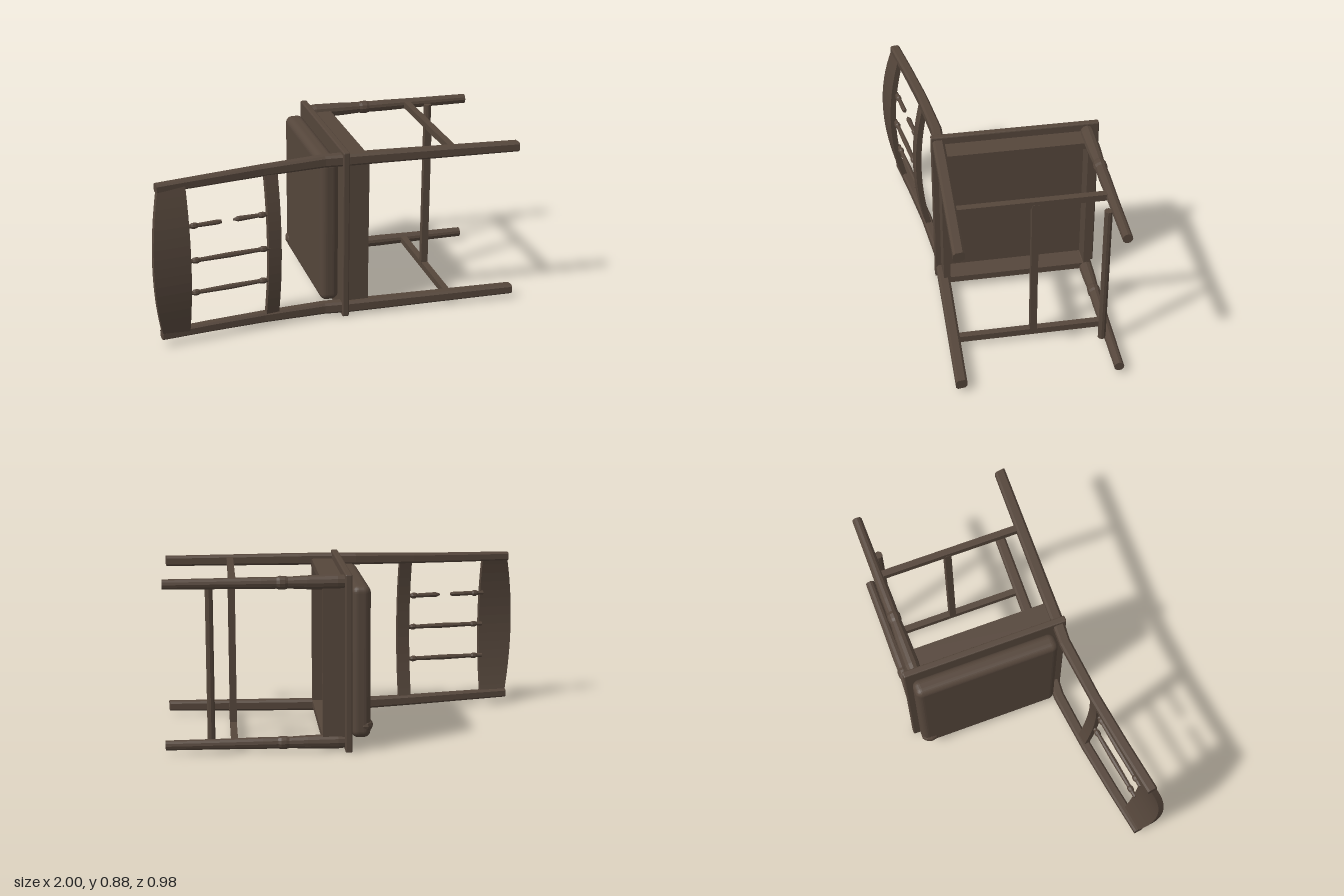
import * as THREE from 'three';
import { RoundedBoxGeometry } from 'three/addons/geometries/RoundedBoxGeometry.js';

const MID = 0.445; // height of the chair's plane of symmetry as it lies on its side

// Cross-sections in (y, z): chamfered square and round
const C = 0.62;
const SQUARE = [[1, -C], [1, C], [C, 1], [-C, 1], [-1, C], [-1, -C], [-C, -1], [C, -1]];
const round = (n) => Array.from({ length: n }, (_, i) => {
  const a = (i / n) * Math.PI * 2;
  return [Math.cos(a), Math.sin(a)];
});

// Loft a section along x through stations [x, y, z, halfY, halfZ]
function loft(section, stations) {
  const n = section.length, pos = [], idx = [];
  for (const [x, y, z, ry, rz = ry] of stations)
    for (const [sy, sz] of section) pos.push(x, y + sy * ry, z + sz * rz);
  const last = (stations.length - 1) * n;
  for (let i = 0; i < last; i += n)
    for (let j = 0; j < n; j++) {
      const k = (j + 1) % n;
      idx.push(i + j, i + k, i + n + j, i + k, i + n + k, i + n + j);
    }
  for (let k = 1; k < n - 1; k++) {
    idx.push(0, k + 1, k);
    idx.push(last, last + k, last + k + 1);
  }
  const g = new THREE.BufferGeometry();
  g.setAttribute('position', new THREE.Float32BufferAttribute(pos, 3));
  g.setIndex(idx);
  g.computeVertexNormals();
  return g;
}

// Back rail bowed towards +z, with an optional arched top edge
function rail(width, length, thick, bow, arch) {
  const g = new THREE.BoxGeometry(width, length, thick, 1, 16, 1);
  const p = g.attributes.position;
  for (let i = 0; i < p.count; i++) {
    const t = p.getY(i) / (length / 2), f = 1 - t * t;
    if (p.getX(i) < 0) p.setX(i, p.getX(i) - arch * f);
    p.setZ(i, p.getZ(i) + bow * f);
  }
  g.computeVertexNormals();
  return g;
}

export function createModel() {
  const wood = new THREE.MeshStandardMaterial({ color: 0x55463b, flatShading: true });
  wood.name = 'dark brown wood';

  const model = new THREE.Group();
  model.name = 'toppledChair';
  const add = (parent, name, geo, x = 0, y = 0, z = 0) => {
    const m = new THREE.Mesh(geo, wood);
    m.name = name;
    m.position.set(x, y, z);
    parent.add(m);
    return m;
  };
  const box = (parent, name, w, h, d, x, y, z) =>
    add(parent, name, new THREE.BoxGeometry(w, h, d), x, y, z);

  // Seat frame: local +x runs down the legs, +z towards the backrest
  const base = new THREE.Group();
  base.name = 'seatAndBase';
  base.position.set(0.058, MID, -0.07);
  base.rotation.y = -0.137;
  model.add(base);

  add(base, 'seatBoard', new RoundedBoxGeometry(0.034, 0.885, 0.85, 1, 0.006));
  add(base, 'cushion', new RoundedBoxGeometry(0.095, 0.76, 0.75, 4, 0.035), -0.064, 0, -0.02);
  const flap = add(base, 'cushionTornCorner', new THREE.SphereGeometry(0.045, 10, 8), -0.085, -0.32, -0.35);
  flap.scale.set(0.9, 0.8, 1.1);

  // Aprons under the seat
  box(base, 'frontApron', 0.11, 0.76, 0.035, 0.07, 0, -0.365);
  box(base, 'rearApron', 0.11, 0.76, 0.035, 0.07, 0, 0.375);

  // Turned front legs, side aprons and side stretchers
  const turned = [[0.01, 0.033], [0.05, 0.037], [0.2, 0.034], [0.29, 0.029], [0.305, 0.033],
    [0.33, 0.034], [0.345, 0.029], [0.42, 0.03], [0.6, 0.027], [0.893, 0.025]];
  for (const s of [1, -1]) {
    add(base, 'frontLeg', loft(round(12), turned.map(([x, r]) => [x, s * 0.398, -0.362, r])));
    box(base, 'sideApron', 0.11, 0.034, 0.74, 0.07, s * 0.385, 0.005);
    box(base, 'sideStretcher', 0.034, 0.034, 0.745, 0.557, s * 0.398, 0.02);
  }
  box(base, 'middleStretcher', 0.036, 0.79, 0.034, 0.557, 0, 0.004);
  add(base, 'frontRung', new THREE.CylinderGeometry(0.02, 0.02, 0.79, 10), 0.67, 0, -0.324);

  // Rear legs continue into the backrest posts
  for (const s of [1, -1]) {
    const post = [[-0.955, 0.383, 0.293, 0.022, 0.025], [-0.7, 0.386, 0.286, 0.024, 0.025],
      [-0.42, 0.391, 0.283, 0.026, 0.025], [-0.1, 0.397, 0.294, 0.029, 0.027],
      [0.02, 0.398, 0.317, 0.03, 0.03], [0.2, 0.398, 0.346, 0.029, 0.03],
      [0.885, 0.394, 0.462, 0.025, 0.028]];
    add(model, 'rearLegAndPost', loft(SQUARE, post.map(([x, y, ...r]) => [x, MID + s * y, ...r])));
  }

  // Backrest rails
  add(model, 'crestRail', rail(0.135, 0.77, 0.03, 0.055, 0.05), -0.8825, MID, 0.298);
  add(model, 'lowerBackRail', rail(0.066, 0.75, 0.03, 0.045, 0), -0.378, MID, 0.288);

  // Slim turned spindles, the upper one snapped in the middle
  const spindle = (name, y, z, profile) =>
    add(model, name, loft(round(8), profile.map(([x, r]) => [x, y, z, r])));
  const topEnd = [[-0.83, 0.011], [-0.8, 0.011], [-0.79, 0.016], [-0.775, 0.016], [-0.765, 0.011]];
  const lowEnd = [[-0.455, 0.011], [-0.445, 0.016], [-0.43, 0.016], [-0.42, 0.011], [-0.39, 0.011]];
  for (const [y, z] of [[0.273, 0.325], [0.448, 0.338]])
    spindle('spindle', y, z, [...topEnd, [-0.61, 0.014], ...lowEnd]);
  spindle('brokenSpindleTop', 0.623, 0.325, [...topEnd, [-0.665, 0.013], [-0.645, 0.009]]);
  spindle('brokenSpindleBottom', 0.623, 0.325, [[-0.585, 0.004], [-0.56, 0.014], ...lowEnd]);

  return model;
}
